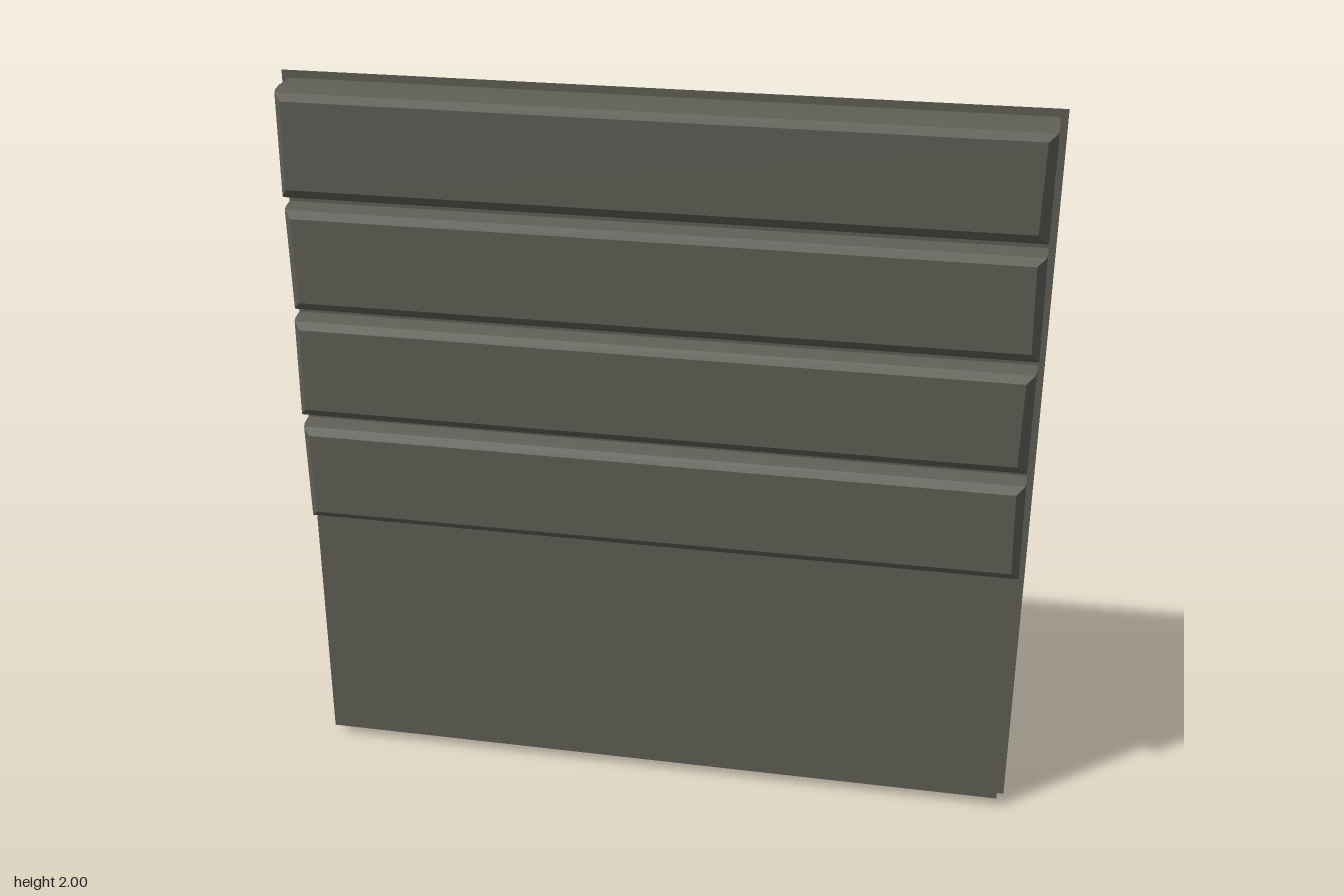
import * as THREE from 'three';

const greyWood = new THREE.MeshStandardMaterial({ color: 0x5e5e56, side: THREE.DoubleSide, flatShading: true });
greyWood.name = 'weathered grey';

// One plank: rectangular rings stacked from the wall (z = 0) to the chamfered face.
function plankGeometry(bottom, top, skew) {
  // z, end inset, bottom inset, top inset
  const rings = [
    [0, 0, 0.012, 0],
    [0.032, 0, 0, 0.006],
    [0.046, 0.003, 0.008, 0.01],
    [0.07, 0.024, 0.032, 0.026],
  ];
  const positions = [];
  for (const [z, end, low, high] of rings) {
    const x = 0.98 - end;
    const s = skew * z / 0.07; // slightly uneven, hand-cut ends
    positions.push(
      -x + s, bottom + low, z,
      x + s, bottom + low + Math.abs(s) * 0.5, z,
      x, top - high, z,
      -x, top - high, z);
  }
  const index = [];
  for (let r = 0; r < rings.length - 1; r++) {
    for (let i = 0; i < 4; i++) {
      const a = r * 4 + i, b = r * 4 + (i + 1) % 4;
      index.push(a, b, b + 4, a, b + 4, a + 4);
    }
  }
  const f = (rings.length - 1) * 4;
  index.push(f, f + 1, f + 2, f, f + 2, f + 3);
  const indexed = new THREE.BufferGeometry();
  indexed.setAttribute('position', new THREE.Float32BufferAttribute(positions, 3));
  indexed.setIndex(index);
  const geometry = indexed.toNonIndexed();
  geometry.computeVertexNormals();
  return geometry;
}

export function createModel() {
  const group = new THREE.Group();
  group.name = 'plankedWallPanel';
  const add = (name, geometry, x = 0, y = 0, z = 0) => {
    const mesh = new THREE.Mesh(geometry, greyWood);
    mesh.name = name;
    mesh.position.set(x, y, z);
    group.add(mesh);
  };

  // Thin square backing sheet, a little larger than the panel
  add('backingSheet', new THREE.PlaneGeometry(2, 2).rotateY(Math.PI), 0, 1, -0.07);

  // Solid panel
  add('panel', new THREE.BoxGeometry(1.96, 1.95, 0.069), 0, 1.005, -0.0345);

  // Four chamfered planks over the upper part
  for (let i = 0; i < 4; i++) {
    const bottom = 0.757 + i * 0.311;
    add('plank' + (i + 1), plankGeometry(bottom, bottom + 0.291, i % 2 ? -0.004 : 0.006));
  }
  return group;
}
